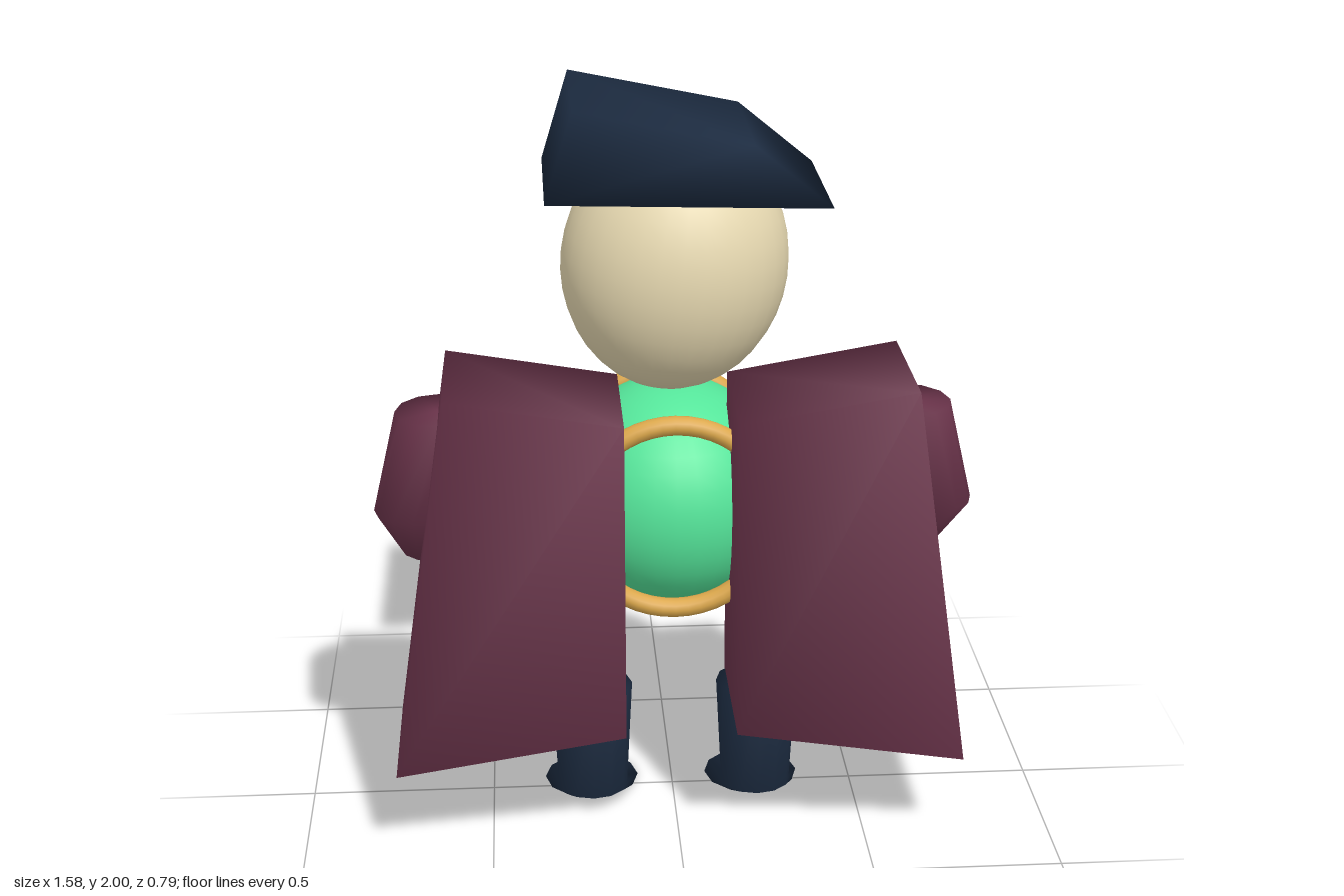
import * as THREE from 'three';
import { mergeVertices } from 'three/addons/utils/BufferGeometryUtils.js';

const material = (color) => new THREE.MeshStandardMaterial({ color });

// Weld corners so normals blend across every edge
function soften(geometry) {
  geometry.deleteAttribute('normal');
  geometry.deleteAttribute('uv');
  const welded = mergeVertices(geometry, 1e-4);
  welded.computeVertexNormals();
  return welded;
}

// Polygon in x, y pushed from z0 to z1
function prism(points, z0, z1) {
  const shape = new THREE.Shape(points.map(([x, y]) => new THREE.Vector2(x, y)));
  const geometry = new THREE.ExtrudeGeometry(shape, { depth: z1 - z0, bevelEnabled: false });
  return soften(geometry.translate(0, 0, z0));
}

// Softened box from its two opposite corners
function block(x0, x1, y0, y1, z0, z1) {
  const geometry = new THREE.BoxGeometry(x1 - x0, y1 - y0, z1 - z0);
  return soften(geometry.translate((x0 + x1) / 2, (y0 + y1) / 2, (z0 + z1) / 2));
}

// Closed limb through level rings [x, y, z, radiusX, radiusZ], listed from the top
function limb(rings, side) {
  const geometry = new THREE.CylinderGeometry(1, 1, 1, 12, rings.length - 1);
  const p = geometry.attributes.position;
  for (let i = 0; i < p.count; i++) {
    const [x, y, z, rx, rz] = rings[Math.round((0.5 - p.getY(i)) * (rings.length - 1))];
    p.setXYZ(i, side * x + p.getX(i) * rx, y, z + p.getZ(i) * rz);
  }
  return soften(geometry);
}

export function createModel() {
  const model = new THREE.Group();
  const navy = material(0x1c2b40);
  const skin = material(0xe8dab2);
  const plum = material(0x6b344b);
  const green = material(0x55e59a);
  const gold = material(0xdba74b);
  const red = material(0xb82f58);

  const add = (name, geometry, mat) => {
    const mesh = new THREE.Mesh(geometry, mat);
    mesh.name = name;
    model.add(mesh);
    return mesh;
  };

  // Head, nose and slanted hat
  const head = add('head', new THREE.SphereGeometry(1, 32, 20), skin);
  head.scale.set(0.29, 0.335, 0.265);
  head.position.set(0, 1.56, 0.09);
  head.rotation.z = -0.12;
  add('nose', block(-0.07, 0.07, 1.43, 1.615, -0.295, -0.155), red);
  add('hat', prism([[-0.33, 1.77], [0.375, 1.75], [0.18, 1.91], [-0.26, 2]], -0.15, 0.315), navy);

  // Round body with a hoop at each end
  const body = add('body', new THREE.SphereGeometry(0.31, 32, 20), green);
  body.position.set(0, 0.865, -0.085);
  for (const [name, z] of [['bellyHoop', -0.3], ['backHoop', 0.13]]) {
    add(name, new THREE.TorusGeometry(0.26, 0.026, 12, 48), gold).position.set(0, 0.865, z);
  }

  for (const [label, s] of [['left', 1], ['right', -1]]) {
    // Eyebrow
    add(label + 'Eyebrow', block(s * 0.155 - 0.073, s * 0.155 + 0.073, 1.625, 1.663, -0.193, -0.168), navy);

    // Coat half, widening towards the hem
    const outline = [[0.145, 1.222], [0.592, 1.298], [0.745, 0.263], [0.145, 0.358]];
    add(label + 'Coat', prism(outline.map(([x, y]) => [s * x, y]), -0.005, 0.395), plum);

    // Bent sleeve and hand
    add(label + 'Sleeve', limb([
      [0.61, 1.165, 0.085, 0.115, 0.125],
      [0.685, 0.89, 0.085, 0.105, 0.105],
      [0.64, 0.7, -0.09, 0.092, 0.09],
    ], s), plum);
    add(label + 'Hand', block(s * 0.5 - 0.094, s * 0.5 + 0.094, 0.488, 0.797, -0.187, -0.005), gold);

    // Leg running into a flat foot
    add(label + 'Leg', limb([
      [0.225, 0.36, 0.08, 0.11, 0.102],
      [0.225, 0.05, 0.083, 0.094, 0.083],
      [0.225, 0, -0.055, 0.13, 0.127],
    ], s), navy);
  }
  return model;
}
